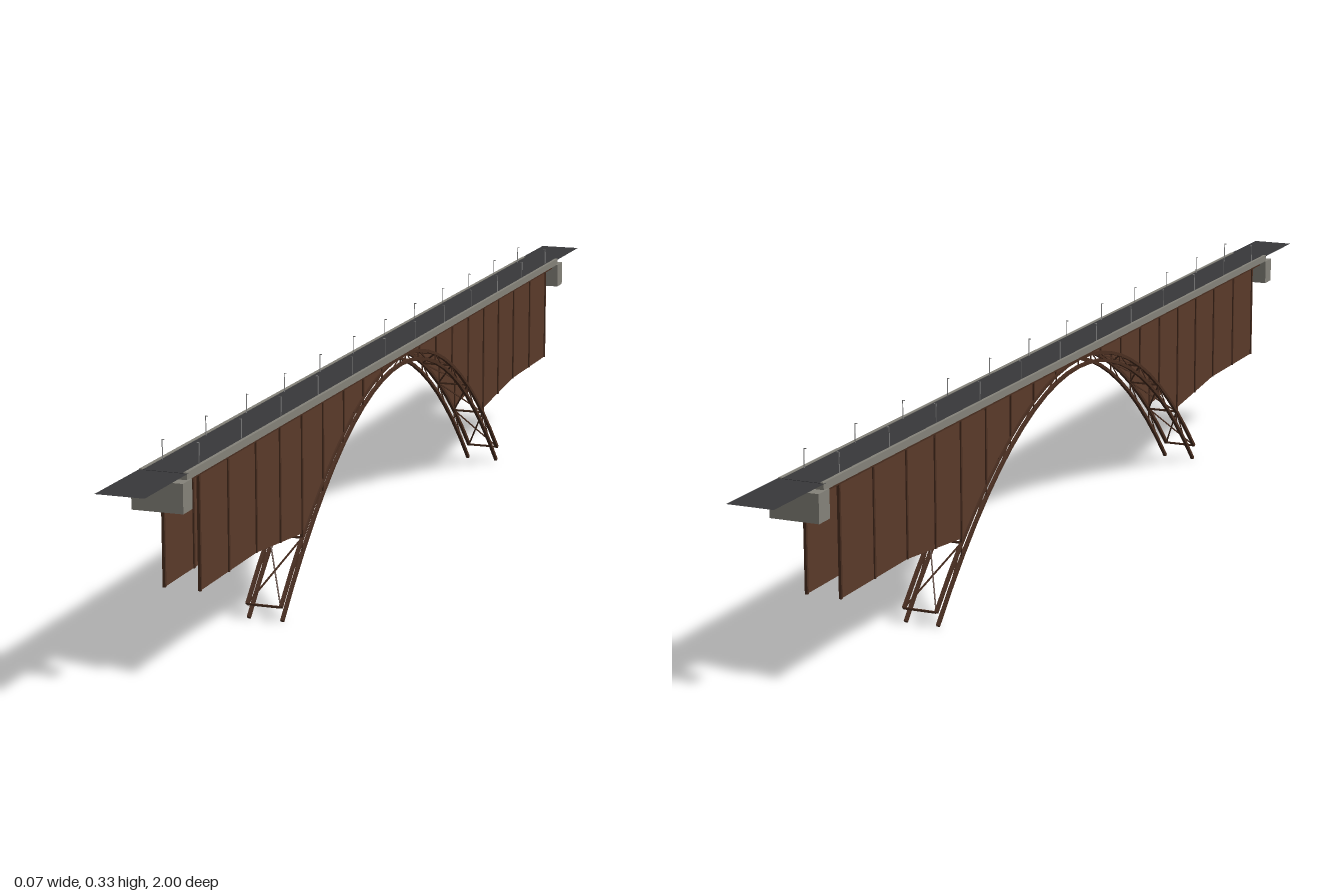
import * as THREE from 'three';

const mat = (color, extra = {}) => new THREE.MeshStandardMaterial({ color, ...extra });
const steel = mat(0x4a2e20);
const panel = mat(0x5a3a2a, { side: THREE.DoubleSide });
const concrete = mat(0x85837a);
const asphalt = mat(0x38383a, { side: THREE.DoubleSide });
const metal = mat(0x8c8c8c);

const HALF = 0.026; // x of the two arch ribs
const END = 0.52, PANELS = 12, STEP = (2 * END) / PANELS;
const upperY = z => 0.291 - 0.267 * (z / END) ** 2;
const lowerY = z => 0.278 - 0.276 * (z / 0.515) ** 2;
const V = (x, y, z) => new THREE.Vector3(x, y, z);

function add(parent, name, geometry, material, x = 0, y = 0, z = 0) {
  const mesh = new THREE.Mesh(geometry, material);
  mesh.name = name;
  mesh.position.set(x, y, z);
  parent.add(mesh);
  return mesh;
}

function box(parent, name, material, w, h, d, x, y, z) {
  return add(parent, name, new THREE.BoxGeometry(w, h, d), material, x, y, z);
}

// Square bar from a to b
function bar(parent, name, a, b, width, material = steel) {
  const mesh = box(parent, name, material, width, width, a.distanceTo(b), 0, 0, 0);
  mesh.position.copy(a).lerp(b, 0.5);
  mesh.lookAt(b);
  return mesh;
}

function group(parent, name) {
  const g = new THREE.Group();
  g.name = name;
  parent.add(g);
  return g;
}

// Lower edge of the spandrel wall at a given z
function wallBottom(z) {
  const a = Math.abs(z);
  if (a < 0.435) return upperY(a);
  return a > 0.61 ? 0.13 : THREE.MathUtils.mapLinear(a, 0.435, 0.61, 0.112, 0.13);
}

function buildArch(root) {
  const arch = group(root, 'arch');
  for (const x of [-HALF, HALF]) {
    // Curved chords
    const n = PANELS * 2;
    for (let i = 0; i < n; i++) {
      const z0 = -END + (2 * END * i) / n, z1 = -END + (2 * END * (i + 1)) / n;
      const s = 0.515 / END;
      bar(arch, 'upperChord', V(x, upperY(z0), z0), V(x, upperY(z1), z1), 0.005);
      bar(arch, 'lowerChord', V(x, lowerY(z0 * s), z0 * s), V(x, lowerY(z1 * s), z1 * s), 0.005);
    }
    // Web between the chords
    for (let i = 1; i < PANELS; i++) {
      const z = -END + i * STEP;
      const out = z + (z < 0 ? -STEP : STEP) / 2;
      bar(arch, 'webPost', V(x, upperY(z), z), V(x, lowerY(z), z), 0.002);
      bar(arch, 'webDiagonal', V(x, upperY(z), z), V(x, lowerY(out), out), 0.0015);
    }
  }
  // Cross struts and X bracing between the ribs
  for (let i = 0; i <= PANELS; i++) {
    const z = -END + i * STEP, y = upperY(z);
    bar(arch, 'crossStrut', V(-HALF, y, z), V(HALF, y, z), 0.003);
    if (i === PANELS) continue;
    const z1 = z + STEP, y1 = upperY(z1);
    for (const s of [-1, 1])
      bar(arch, 'crossBrace', V(-s * HALF, y, z), V(s * HALF, y1, z1), 0.002);
  }
}

function buildWalls(root) {
  const walls = group(root, 'spandrelWalls');
  // One elevation outline, used on both sides
  const shape = new THREE.Shape();
  const top = 0.298;
  shape.moveTo(-0.81, top);
  shape.lineTo(-0.81, 0.13);
  shape.lineTo(-0.61, 0.13);
  shape.lineTo(-0.435, 0.112);
  for (let i = 0; i <= 40; i++) {
    const z = -0.435 + (0.87 * i) / 40;
    shape.lineTo(z, upperY(z));
  }
  shape.lineTo(0.435, 0.112);
  shape.lineTo(0.61, 0.13);
  shape.lineTo(0.81, 0.13);
  shape.lineTo(0.81, top);
  const geometry = new THREE.ShapeGeometry(shape).rotateY(-Math.PI / 2);

  for (const x of [-HALF, HALF]) {
    add(walls, 'spandrelWall', geometry, panel, x);
    // Slim columns at the panel joints
    for (const z of [0.09, 0.175, 0.26, 0.348, 0.434, 0.52, 0.61, 0.71, 0.809])
      for (const s of [-1, 1]) {
        const y = wallBottom(z);
        box(walls, 'column', steel, 0.004, top - y, 0.004, x, (top + y) / 2, s * z);
      }
  }
}

function buildDeck(root) {
  const deck = group(root, 'deck');
  box(deck, 'deckSlab', concrete, 0.068, 0.007, 1.73, 0, 0.2995, 0);
  box(deck, 'roadway', asphalt, 0.058, 0.003, 1.73, 0, 0.3045, 0);
  for (const s of [-1, 1]) {
    box(deck, 'kerb', concrete, 0.005, 0.004, 1.73, s * 0.0315, 0.305, 0);
    box(deck, 'edgeGirder', steel, 0.004, 0.006, 1.7, s * HALF, 0.293, 0);
    box(deck, 'abutment', concrete, 0.074, 0.041, 0.03, 0, 0.2765, s * 0.87);
    const slab = new THREE.PlaneGeometry(0.07, 0.14).rotateX(-Math.PI / 2);
    add(deck, 'approachRoad', slab, asphalt, 0, 0.3055, s * 0.93);
  }
}

function buildLamps(root) {
  const lamps = group(root, 'lamps');
  for (const s of [-1, 1])
    for (let i = 0; i < 12; i++) {
      const z = (i - 5.5) * 0.1467;
      box(lamps, 'lampPost', metal, 0.001, 0.03, 0.001, s * 0.0265, 0.319, z);
      box(lamps, 'lampArm', metal, 0.004, 0.001, 0.001, s * 0.025, 0.3335, z);
    }
}

export function createModel() {
  const root = new THREE.Group();
  root.name = 'archBridge';
  buildArch(root);
  buildWalls(root);
  buildDeck(root);
  buildLamps(root);
  return root;
}
